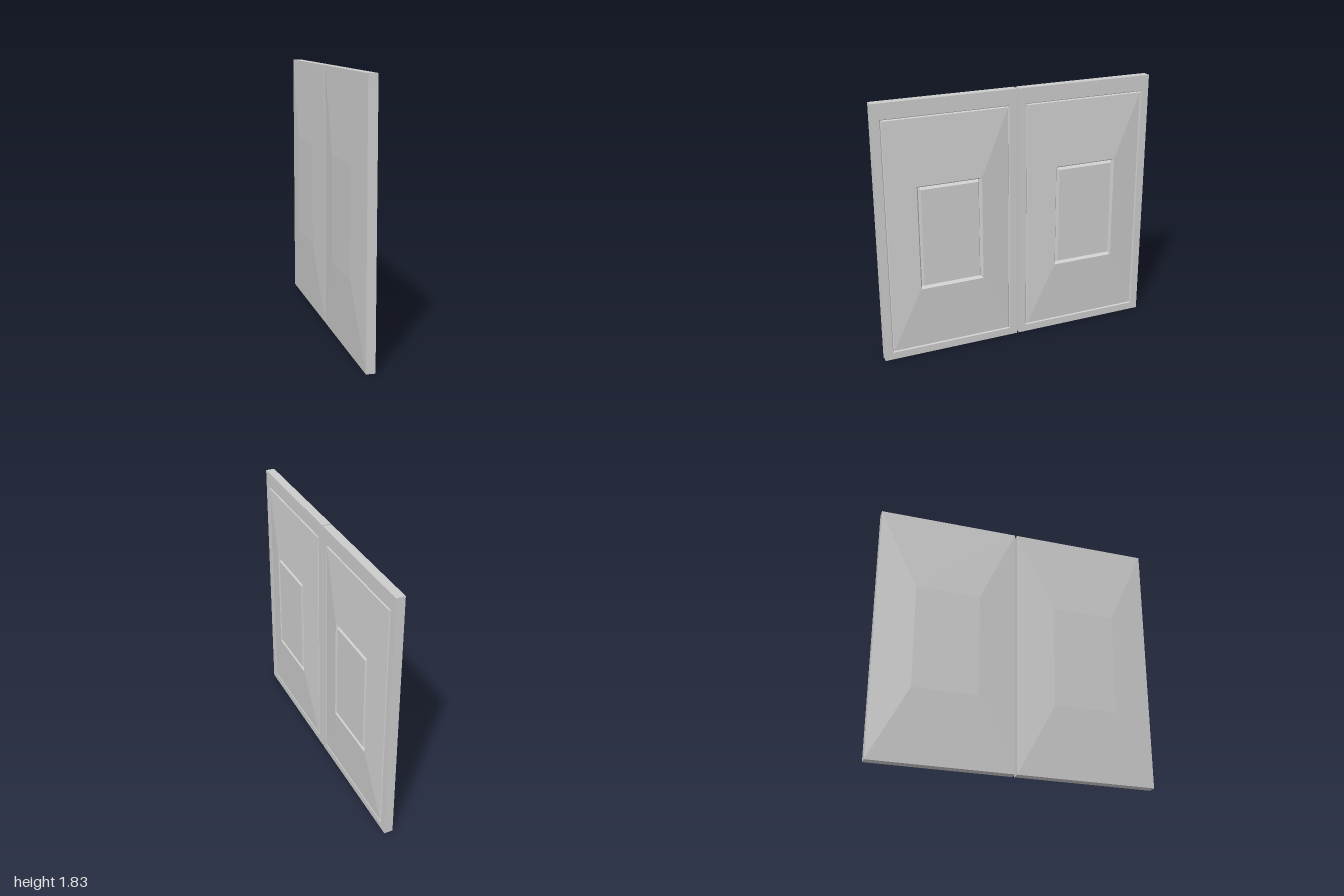
import * as THREE from 'three';

const material = new THREE.MeshStandardMaterial({ color: 0xcccccc, flatShading: true });

// Skins a series of rectangles [halfWidth, bottom, top, x], running from back to front.
function loftRectangles(rects, capBack, capFront) {
  const positions = [];
  const index = [];
  for (const [h, y0, y1, x] of rects) {
    positions.push(x, y0, h, x, y0, -h, x, y1, -h, x, y1, h);
  }
  for (let r = 0; r < rects.length - 1; r++) {
    for (let i = 0; i < 4; i++) {
      const a = r * 4 + i;
      const b = r * 4 + (i + 1) % 4;
      index.push(a, b, b + 4, a, b + 4, a + 4);
    }
  }
  const last = (rects.length - 1) * 4;
  if (capBack) index.push(0, 2, 1, 0, 3, 2);
  if (capFront) index.push(last, last + 1, last + 2, last, last + 2, last + 3);
  const geometry = new THREE.BufferGeometry();
  geometry.setAttribute('position', new THREE.Float32BufferAttribute(positions, 3));
  geometry.setIndex(index);
  const flat = geometry.toNonIndexed();
  flat.computeVertexNormals();
  return flat;
}

// Rectangle shrunk by d on every side, at depth x.
const inset = ([h, y0, y1], d, x) => [h - d, y0 + d, y1 - d, x];

const LEAF = [0.4965, 0, 1.83];
const PANEL = [0.442, 0.053, 1.723];
const CENTRE = [0.228, 0.514, 1.257];
const BACK = -0.037;
const FACE = 0.025;
const RAISED = 0.055;

const parts = {
  // Shallow pyramid on the plain side
  backPanel: loftRectangles([[0.228, 0.514, 1.257, -0.06], inset(LEAF, 0, BACK)], true, false),
  // Edges and the flat border around the panel
  leafFrame: loftRectangles(
    [inset(LEAF, 0, BACK), inset(LEAF, 0, FACE), inset(PANEL, 0, FACE)], false, false),
  // Thin groove, then the sloping field
  slopedPanel: loftRectangles([
    inset(PANEL, 0, FACE), inset(PANEL, 0.006, FACE - 0.01),
    inset(PANEL, 0.012, FACE + 0.001), inset(CENTRE, 0, RAISED),
  ], false, false),
  // Deeper groove around the raised centre
  centrePanel: loftRectangles([
    inset(CENTRE, 0, RAISED), inset(CENTRE, 0.014, RAISED - 0.025), inset(CENTRE, 0.026, RAISED),
  ], false, true),
};

export function createModel() {
  const model = new THREE.Group();
  model.name = 'doublePanelDoor';
  for (const side of [1, -1]) {
    const leaf = new THREE.Group();
    leaf.name = side > 0 ? 'frontLeaf' : 'rearLeaf';
    for (const [name, geometry] of Object.entries(parts)) {
      const mesh = new THREE.Mesh(geometry, material);
      mesh.name = name;
      leaf.add(mesh);
    }
    leaf.position.z = side * 0.5035;
    model.add(leaf);
  }
  return model;
}
